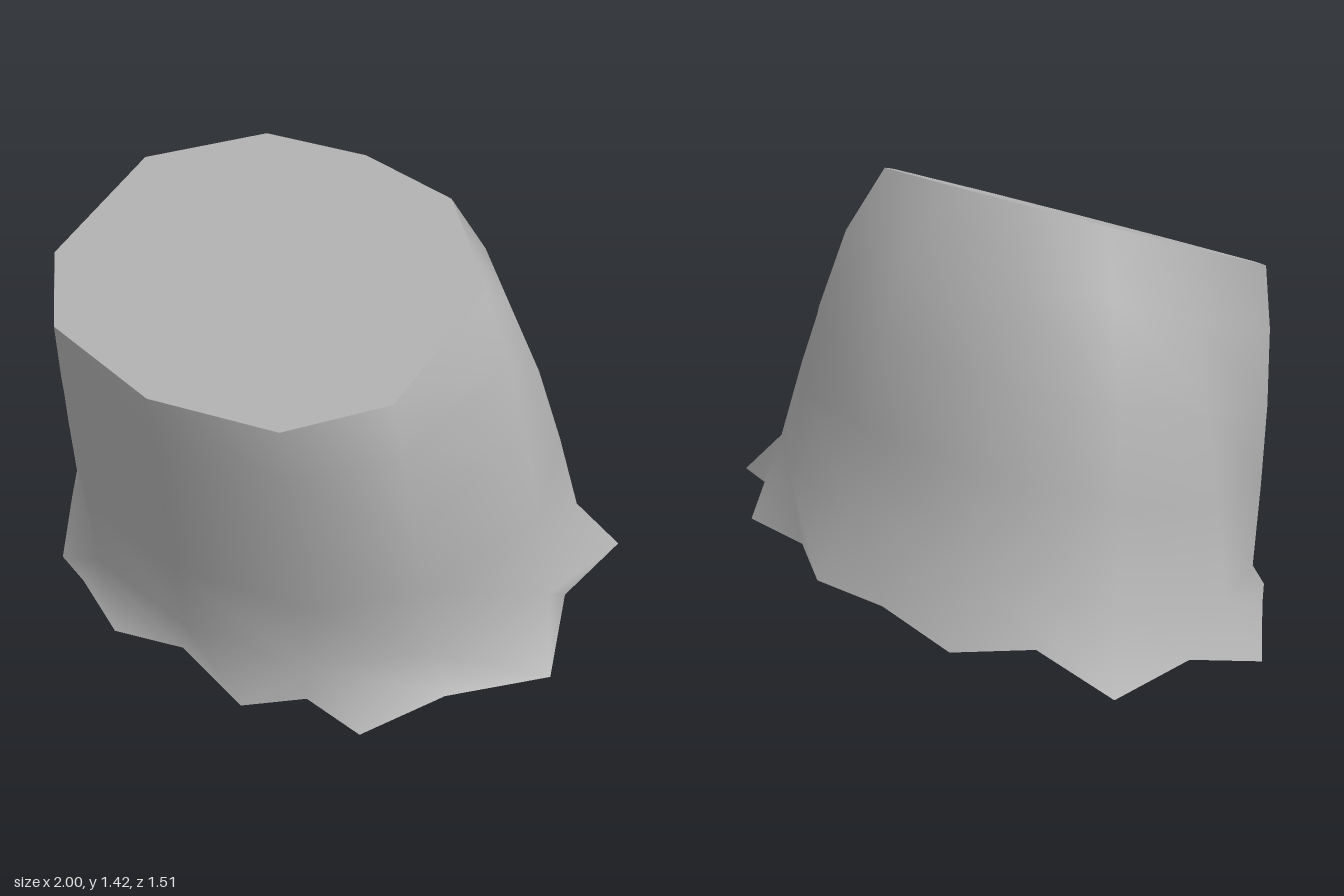
import * as THREE from 'three';

// Outlines as [x, z], running from the front round by +x
const rim = [[-.02, .75], [.39, .70], [.62, .51], [.65, .09], [.52, -.045], [.38, -.18],
  [.04, -.25], [-.32, -.23], [-.48, -.12], [-.64, -.01], [-.65, .42], [-.45, .65]];
const base = [[-.02, .64], [.4, .59], [.7, .38], [.91, .03], [.82, -.32], [.5, -.53],
  [.06, -.62], [-.42, -.6], [-.78, -.36], [-.91, -.04], [-.74, .33], [-.44, .57]];
// Ragged hem as [x, y, z]
const hem = [[-.04, .05, .64], [.23, 0, .70], [.42, .07, .62], [.61, .03, .62], [.78, .12, .42],
  [1, .12, .17], [.89, .17, -.14], [.95, .24, -.39], [.73, .28, -.46], [.57, .27, -.64],
  [.3, .28, -.64], [.07, .29, -.76], [-.17, .28, -.71], [-.49, .28, -.74], [-.64, .27, -.55],
  [-.88, .19, -.49], [-.91, .2, -.2], [-1, .13, .03], [-.8, .12, .31], [-.66, .05, .52],
  [-.49, .08, .6], [-.3, .01, .67]];

const rimPoint = ([x, z]) => [x, 1.33 - .37 * z, z];
const basePoint = ([x, z]) => [x, .31 - .25 * z, z];

// Cross-section between rim (t = 0) and base (t = 1), bulging at the sides and back
function ring(t) {
  return rim.map((r, i) => {
    const a = rimPoint(r), b = basePoint(base[i]);
    const p = a.map((v, k) => v + (b[k] - v) * t);
    const len = Math.hypot(base[i][0], base[i][1]);
    const dx = base[i][0] / len, dz = base[i][1] / len;
    const bulge = (.04 - .04 * dz) * Math.sin(Math.PI * Math.pow(t, .7));
    return [p[0] + dx * bulge, p[1], p[2] + dz * bulge];
  });
}

function makeGeometry(points, index) {
  const g = new THREE.BufferGeometry();
  g.setAttribute('position', new THREE.Float32BufferAttribute(points.flat(), 3));
  g.setIndex(index);
  g.computeVertexNormals();
  return g;
}

// Tilted wall with a flared, ragged hem
function wallGeometry() {
  const steps = [0, .2, .45, .72, 1], n = rim.length;
  const points = steps.flatMap(ring), index = [];
  for (let s = 0; s < steps.length - 1; s++) {
    for (let j = 0; j < n; j++) {
      const k = (j + 1) % n, a = s * n, b = a + n;
      index.push(a + j, b + j, b + k, a + j, b + k, a + k);
    }
  }
  // Join every hem point to the base point nearest in angle
  const start = (steps.length - 1) * n, hemStart = points.length;
  const nearest = ([x, , z]) => {
    let best = 0, bestDot = -2;
    base.forEach(([bx, bz], i) => {
      const dot = (x * bx + z * bz) / Math.hypot(x, z) / Math.hypot(bx, bz);
      if (dot > bestDot) { bestDot = dot; best = i; }
    });
    return best;
  };
  const link = hem.map(nearest);
  hem.forEach((h, j) => {
    const k = (j + 1) % hem.length;
    index.push(start + link[j], hemStart + j, hemStart + k);
    for (let m = link[j]; m !== link[k]; m = (m + 1) % n) {
      index.push(start + m, hemStart + k, start + (m + 1) % n);
    }
  });
  return makeGeometry([...points, ...hem], index);
}

// Slanted flat top
function topGeometry() {
  const points = rim.map(rimPoint), n = points.length, index = [];
  for (let j = 0; j < n; j++) index.push(n, j, (j + 1) % n);
  return makeGeometry([...points, rimPoint([0, .25])], index);
}

export function createModel() {
  const grey = new THREE.MeshStandardMaterial({ color: 0xb3b3b3, side: THREE.DoubleSide });
  grey.name = 'grey';
  const group = new THREE.Group();
  group.name = 'stump';
  const add = (name, geometry) => {
    const mesh = new THREE.Mesh(geometry, grey);
    mesh.name = name;
    group.add(mesh);
  };
  add('flaredWall', wallGeometry());
  add('cutTop', topGeometry());
  return group;
}
